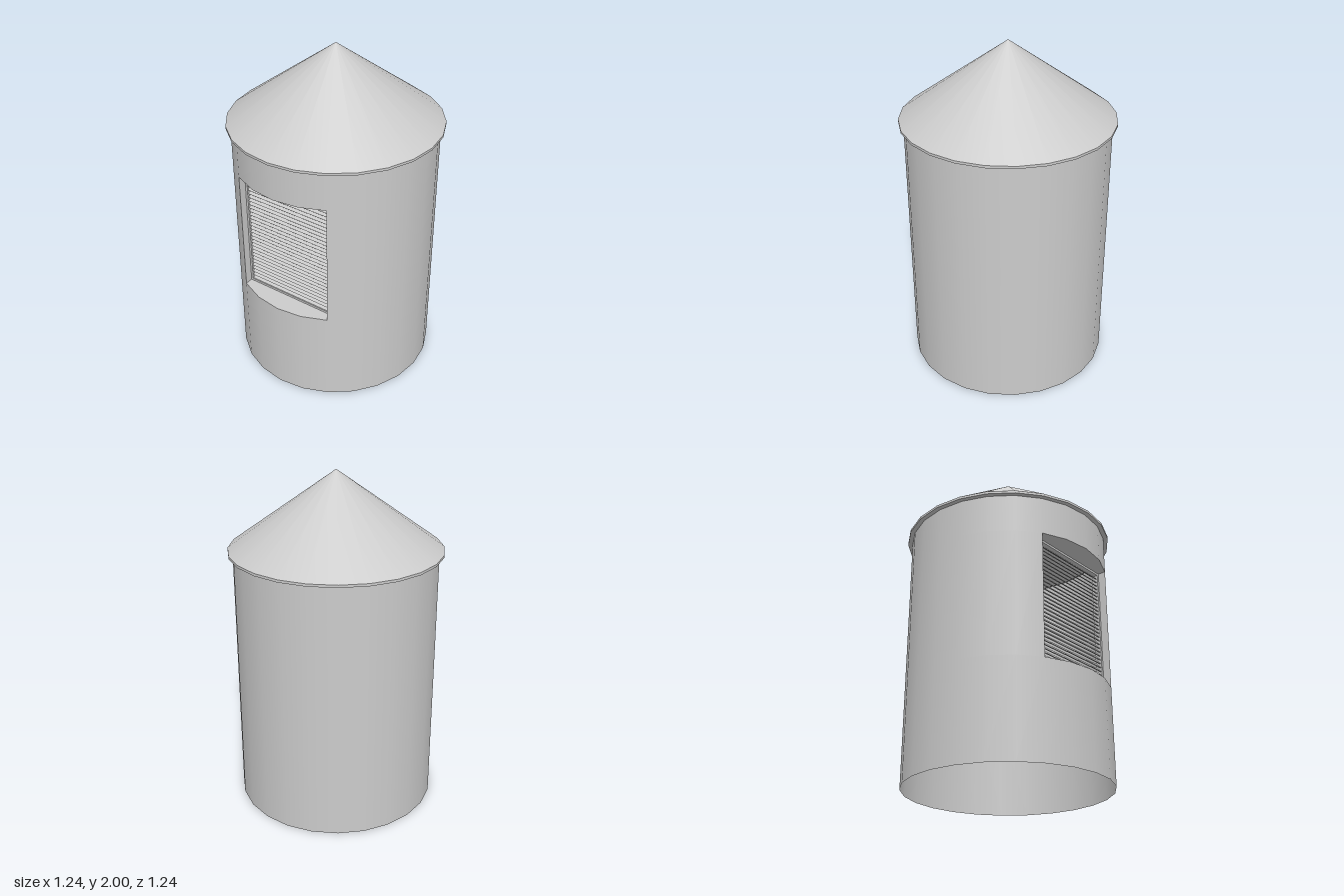
import * as THREE from 'three';

const SIDES = 24;
const R = 0.593;                          // wall radius
const EAVE = 1.535, ROOF_R = 0.62;
const BOTTOM = 0.565, TOP = 1.308;        // window opening
const HALF_ANGLE = Math.PI / 6;
const HALF_W = R * Math.sin(HALF_ANGLE);
const EDGE_Z = R * Math.cos(HALF_ANGLE);
const FRAME_Z = 0.465, FRAME_DEPTH = 0.04, BORDER = 0.013;
const SLATS = 30;

const material = new THREE.MeshStandardMaterial({ color: 0xcccccc, side: THREE.DoubleSide });

function add(parent, name, geometry, x = 0, y = 0, z = 0) {
  const mesh = new THREE.Mesh(geometry, material);
  mesh.name = name;
  mesh.position.set(x, y, z);
  parent.add(mesh);
  return mesh;
}

// Open cylindrical band between two heights, optionally leaving a gap at the front
function wallBand(parent, name, y0, y1, gap = 0) {
  const sides = SIDES - Math.round((gap * SIDES) / Math.PI);
  const geometry = new THREE.CylinderGeometry(R, R, y1 - y0, sides, 1, true, gap, Math.PI * 2 - gap * 2);
  add(parent, name, geometry, 0, (y0 + y1) / 2, 0);
}

function rectangle(path, w, y0, y1) {
  path.moveTo(-w, y0);
  path.lineTo(w, y0);
  path.lineTo(w, y1);
  path.lineTo(-w, y1);
  path.closePath();
  return path;
}

export function createModel() {
  const model = new THREE.Group();
  model.name = 'roundTower';

  // Thin wall, open at the bottom, with a window opening at the front
  const wall = new THREE.Group();
  wall.name = 'wall';
  model.add(wall);
  wallBand(wall, 'lowerWall', 0, BOTTOM);
  wallBand(wall, 'middleWall', BOTTOM, TOP, HALF_ANGLE);
  wallBand(wall, 'upperWall', TOP, EAVE);

  // Conical roof with a thin rim and an overhanging soffit
  const roof = new THREE.Group();
  roof.name = 'roof';
  model.add(roof);
  const rimTop = EAVE + 0.015;
  add(roof, 'roofCone', new THREE.ConeGeometry(ROOF_R, 2 - rimTop, SIDES, 1, true), 0, (2 + rimTop) / 2, 0);
  add(roof, 'roofRim', new THREE.CylinderGeometry(ROOF_R, ROOF_R, 0.015, SIDES, 1, true), 0, EAVE + 0.0075, 0);
  add(roof, 'soffit', new THREE.RingGeometry(R - 0.005, ROOF_R, SIDES).rotateX(Math.PI / 2), 0, EAVE, 0);

  // Recess: curved sill and header, with a jamb at each side
  const vent = new THREE.Group();
  vent.name = 'louverVent';
  model.add(vent);
  const outline = [new THREE.Vector2(HALF_W, FRAME_Z), new THREE.Vector2(-HALF_W, FRAME_Z)];
  for (let i = -2; i <= 2; i++) {
    const a = (i / 2) * HALF_ANGLE;
    outline.push(new THREE.Vector2(R * Math.sin(a), R * Math.cos(a)));
  }
  const ledge = new THREE.ShapeGeometry(new THREE.Shape(outline)).rotateX(Math.PI / 2);
  add(vent, 'header', ledge, 0, TOP, 0);
  add(vent, 'sill', ledge.clone().rotateZ(Math.PI), 0, BOTTOM, 0);
  for (const side of [-1, 1]) {
    const jamb = new THREE.PlaneGeometry(EDGE_Z - FRAME_Z, TOP - BOTTOM).rotateY((-side * Math.PI) / 2);
    add(vent, side > 0 ? 'leftJamb' : 'rightJamb', jamb, side * HALF_W, (TOP + BOTTOM) / 2, (EDGE_Z + FRAME_Z) / 2);
  }

  // Narrow frame around the slats
  const frame = rectangle(new THREE.Shape(), HALF_W, BOTTOM, TOP);
  frame.holes.push(rectangle(new THREE.Path(), HALF_W - BORDER, BOTTOM + BORDER, TOP - BORDER));
  add(vent, 'frame', new THREE.ExtrudeGeometry(frame, { depth: FRAME_DEPTH, bevelEnabled: false }), 0, 0, FRAME_Z - FRAME_DEPTH);

  // Overlapping slats that slope down towards the front
  const pitch = (TOP - BOTTOM - 2 * BORDER) / SLATS;
  const slat = new THREE.BoxGeometry((HALF_W - BORDER) * 2, 0.005, 0.036).rotateX(Math.PI / 4);
  for (let i = 0; i < SLATS; i++) {
    add(vent, 'slat', slat, 0, BOTTOM + BORDER + (i + 0.5) * pitch, FRAME_Z - FRAME_DEPTH / 2);
  }
  return model;
}
